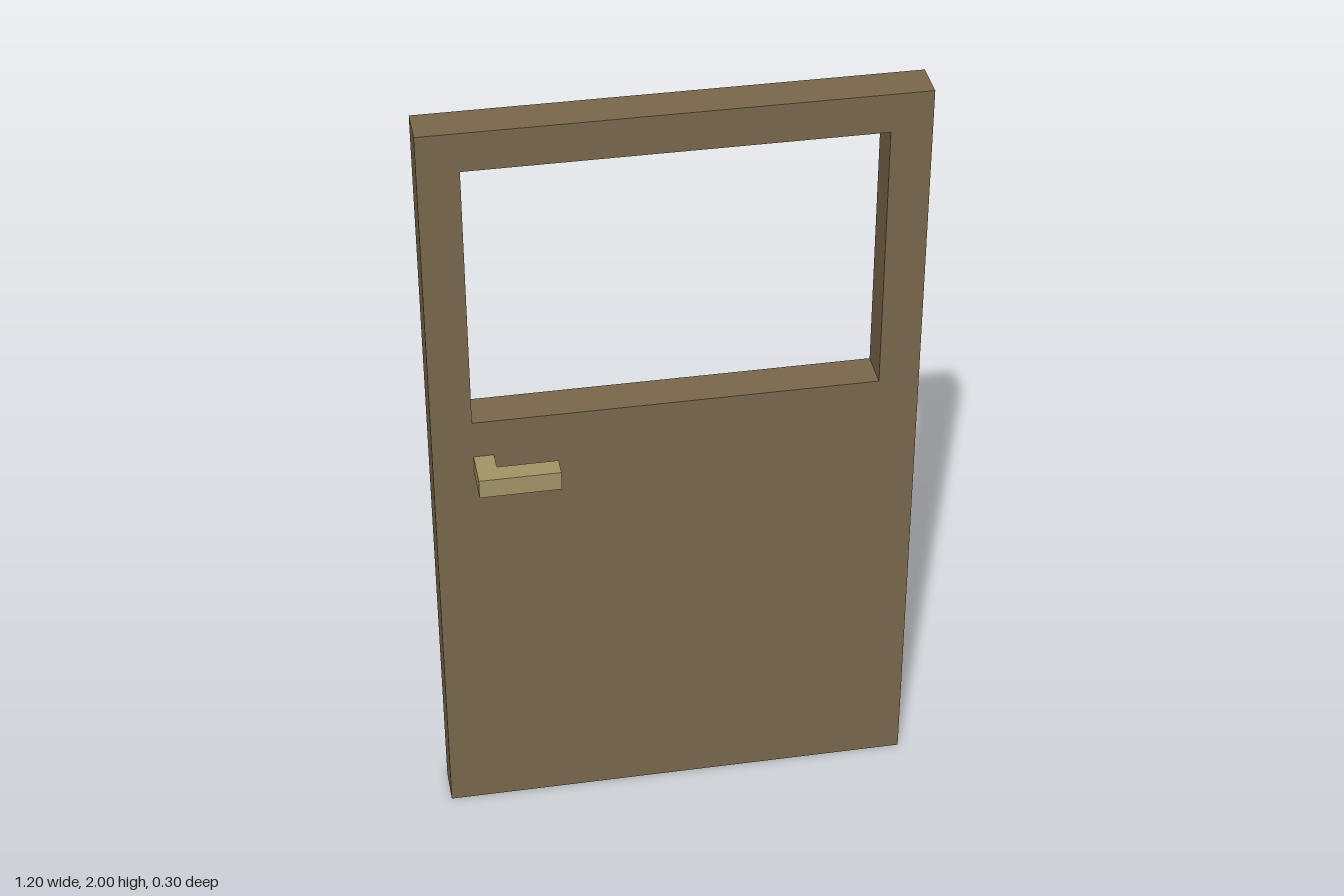
import * as THREE from 'three';

const wood = new THREE.MeshStandardMaterial({ color: 0x7a684c, flatShading: true });
const brass = new THREE.MeshStandardMaterial({ color: 0xa39566, flatShading: true });

const points = (list) => list.map(([x, y]) => new THREE.Vector2(x, y));

function rectangle(x0, y0, x1, y1) {
  return points([[x0, y0], [x1, y0], [x1, y1], [x0, y1]]);
}

// Door slab with a window opening cut through it
function createPanel() {
  const shape = new THREE.Shape(rectangle(-0.6, 0, 0.6, 2));
  shape.holes.push(new THREE.Path(rectangle(-0.5, 1.2, 0.5, 1.9)));
  const geometry = new THREE.ExtrudeGeometry(shape, { depth: 0.1, bevelEnabled: false });
  geometry.translate(0, 0, -0.05);
  const panel = new THREE.Mesh(geometry, wood);
  panel.name = 'doorPanel';
  return panel;
}

// L-shaped lever drawn in plan (x, z); side is 1 for front, -1 for back
function createHandle(name, side) {
  const plan = [[-0.5, 0.05], [-0.45, 0.05], [-0.45, 0.1], [-0.3, 0.1], [-0.3, 0.15], [-0.5, 0.15]];
  const shape = new THREE.Shape(points(plan.map(([x, z]) => [x, z * side])));
  const geometry = new THREE.ExtrudeGeometry(shape, { depth: 0.05, bevelEnabled: false });
  geometry.rotateX(Math.PI / 2).translate(0, 1.1, 0);
  const handle = new THREE.Mesh(geometry, brass);
  handle.name = name;
  return handle;
}

export function createModel() {
  const door = new THREE.Group();
  door.name = 'door';
  door.add(createPanel(), createHandle('frontHandle', 1), createHandle('backHandle', -1));
  return door;
}
